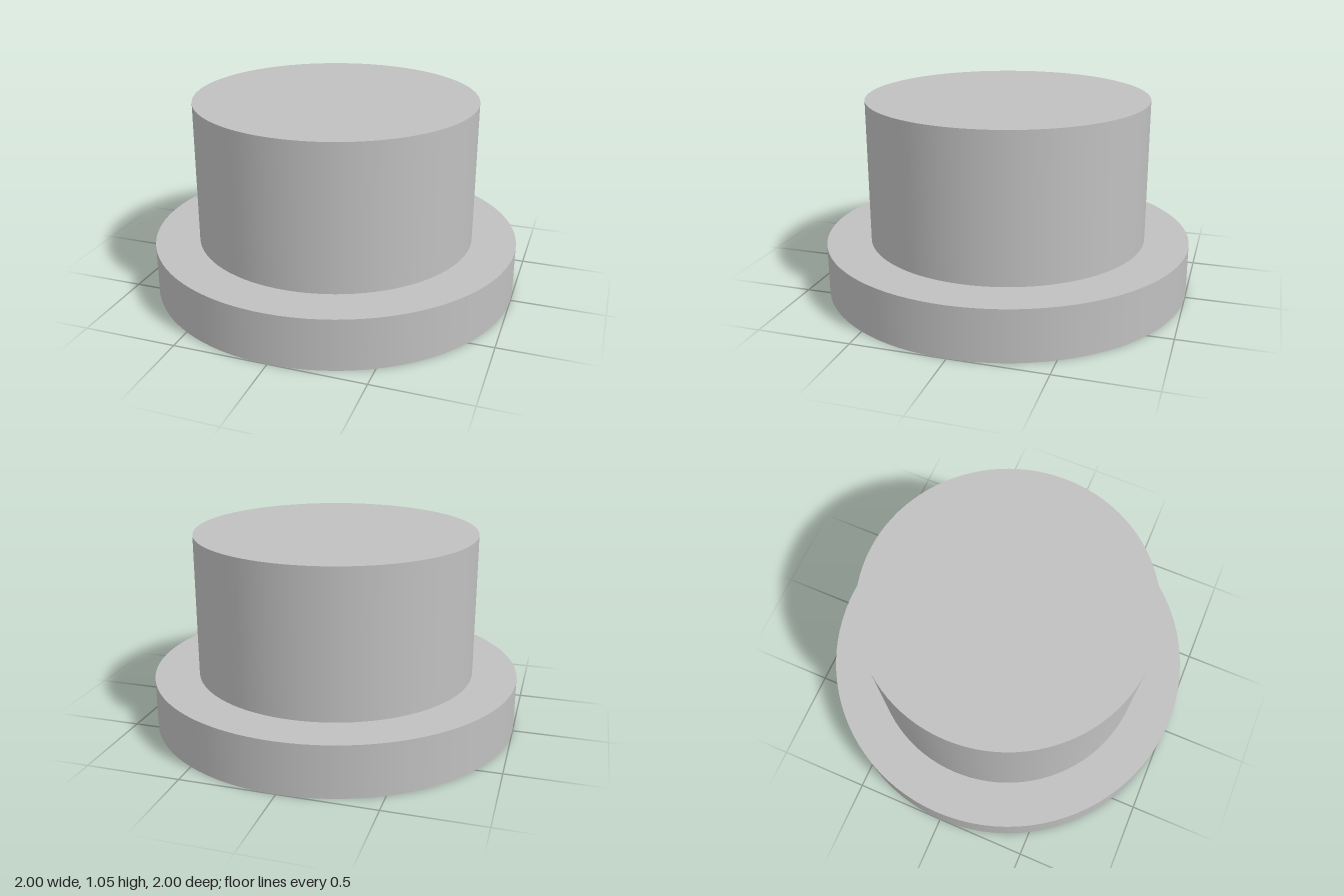
import * as THREE from 'three';
import { mergeGeometries } from 'three/addons/utils/BufferGeometryUtils.js';

const SEGMENTS = 96;

// Revolve each profile edge separately so the rims stay sharp and the walls smooth
function revolve(name, profile, material) {
  const bands = [];
  for (let i = 0; i < profile.length - 1; i++) {
    const edge = [profile[i], profile[i + 1]].map(([r, y]) => new THREE.Vector2(r, y));
    bands.push(new THREE.LatheGeometry(edge, SEGMENTS));
  }
  const mesh = new THREE.Mesh(mergeGeometries(bands), material);
  mesh.name = name;
  return mesh;
}

export function createModel() {
  const group = new THREE.Group();
  group.name = 'flangedBushing';
  const grey = new THREE.MeshStandardMaterial({ color: 0xc0c0c0 });
  grey.name = 'plain grey';

  const flangeR = 1, bodyR = 0.76, boreR = 0.37;
  const flangeTop = 0.275, top = 1.05, boreTop = 0.77;

  // Blind hole rising from the underside
  group.add(revolve('bore', [[0, boreTop], [boreR, boreTop], [boreR, 0]], grey));
  // Wide base disc: underside ring, rim and upper ledge
  group.add(revolve('flange', [[boreR, 0], [flangeR, 0], [flangeR, flangeTop], [bodyR, flangeTop]], grey));
  // Closed upper cylinder
  group.add(revolve('body', [[bodyR, flangeTop], [bodyR, top], [0, top]], grey));

  return group;
}
